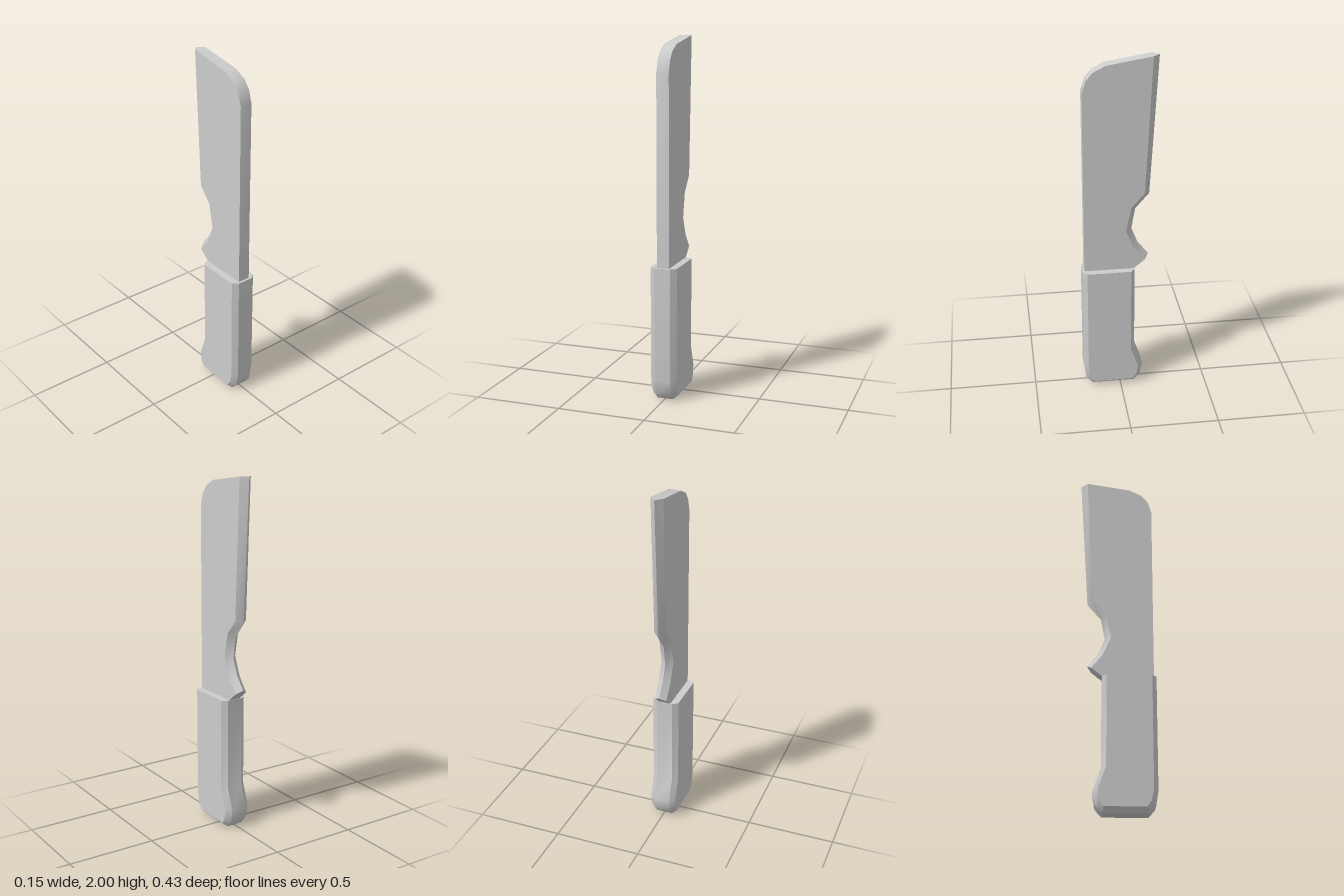
import * as THREE from 'three';
import { toCreasedNormals } from 'three/addons/utils/BufferGeometryUtils.js';

// Skin a list of sections across x; each is { x, loop } with loop = [z, y] points,
// counter-clockwise with z to the right and y up.
function loft(sections) {
  const n = sections[0].loop.length;
  const rings = sections.map(({ x, loop }) => loop.map(([z, y]) => new THREE.Vector3(x, y, z)));
  const positions = [];
  const tri = (a, b, c) => {
    if (new THREE.Triangle(a, b, c).getArea() < 1e-7) return;
    for (const p of [a, b, c]) positions.push(p.x, p.y, p.z);
  };

  // Walls between neighbouring sections
  for (let s = 0; s < rings.length - 1; s++) {
    for (let i = 0; i < n; i++) {
      const j = (i + 1) % n;
      tri(rings[s][i], rings[s + 1][j], rings[s][j]);
      tri(rings[s][i], rings[s + 1][i], rings[s + 1][j]);
    }
  }

  // Flat caps on both sides
  const cap = (ring, flip) => {
    const outline = ring.map((p) => new THREE.Vector2(p.z, p.y));
    for (const [a, b, c] of THREE.ShapeUtils.triangulateShape(outline, [])) {
      if (flip) tri(ring[a], ring[c], ring[b]);
      else tri(ring[a], ring[b], ring[c]);
    }
  };
  cap(rings[0], false);
  cap(rings[rings.length - 1], true);

  const geometry = new THREE.BufferGeometry();
  geometry.setAttribute('position', new THREE.Float32BufferAttribute(positions, 3));
  return toCreasedNormals(geometry, 0.6);
}

export function createModel() {
  const group = new THREE.Group();
  group.name = 'knife';
  const grey = new THREE.MeshStandardMaterial({ color: 0xcccccc });
  grey.name = 'grey';

  const add = (name, sections) => {
    const mesh = new THREE.Mesh(loft(sections), grey);
    mesh.name = name;
    group.add(mesh);
  };

  // Blade: flat spine in front, rounded tip, notched edge ground to a wedge behind
  const spine = [[-0.08, 0.76], [0.2, 0.76], [0.2, 1.81], [0.18, 1.878], [0.143, 1.925], [0.074, 1.96]];
  const bladeSide = [...spine, [-0.175, 2], [-0.138, 1.225], [-0.064, 1.14],
    [-0.035, 0.997], [-0.08, 0.89], [-0.143, 0.812]];
  const bladeEdge = [...spine, [-0.212, 2], [-0.167, 1.21], [-0.09, 1.12],
    [-0.069, 0.997], [-0.106, 0.907], [-0.165, 0.833]];
  add('blade', [
    { x: -0.035, loop: bladeSide },
    { x: 0, loop: bladeEdge },
    { x: 0.035, loop: bladeSide },
  ]);

  // Handle: chamfered grip that flares at the butt
  const gripRim = [[-0.083, 0.76], [-0.083, 0.244], [-0.13, 0.117], [-0.117, 0.04], [-0.08, 0],
    [0.165, 0], [0.2, 0.04], [0.213, 0.12], [0.213, 0.76]];
  const gripSide = [[-0.06, 0.76], [-0.06, 0.24], [-0.103, 0.12], [-0.095, 0.06], [-0.073, 0.027],
    [0.152, 0.027], [0.175, 0.06], [0.188, 0.125], [0.188, 0.76]];
  add('handle', [
    { x: -0.076, loop: gripSide },
    { x: -0.046, loop: gripRim },
    { x: 0.046, loop: gripRim },
    { x: 0.076, loop: gripSide },
  ]);

  return group;
}
